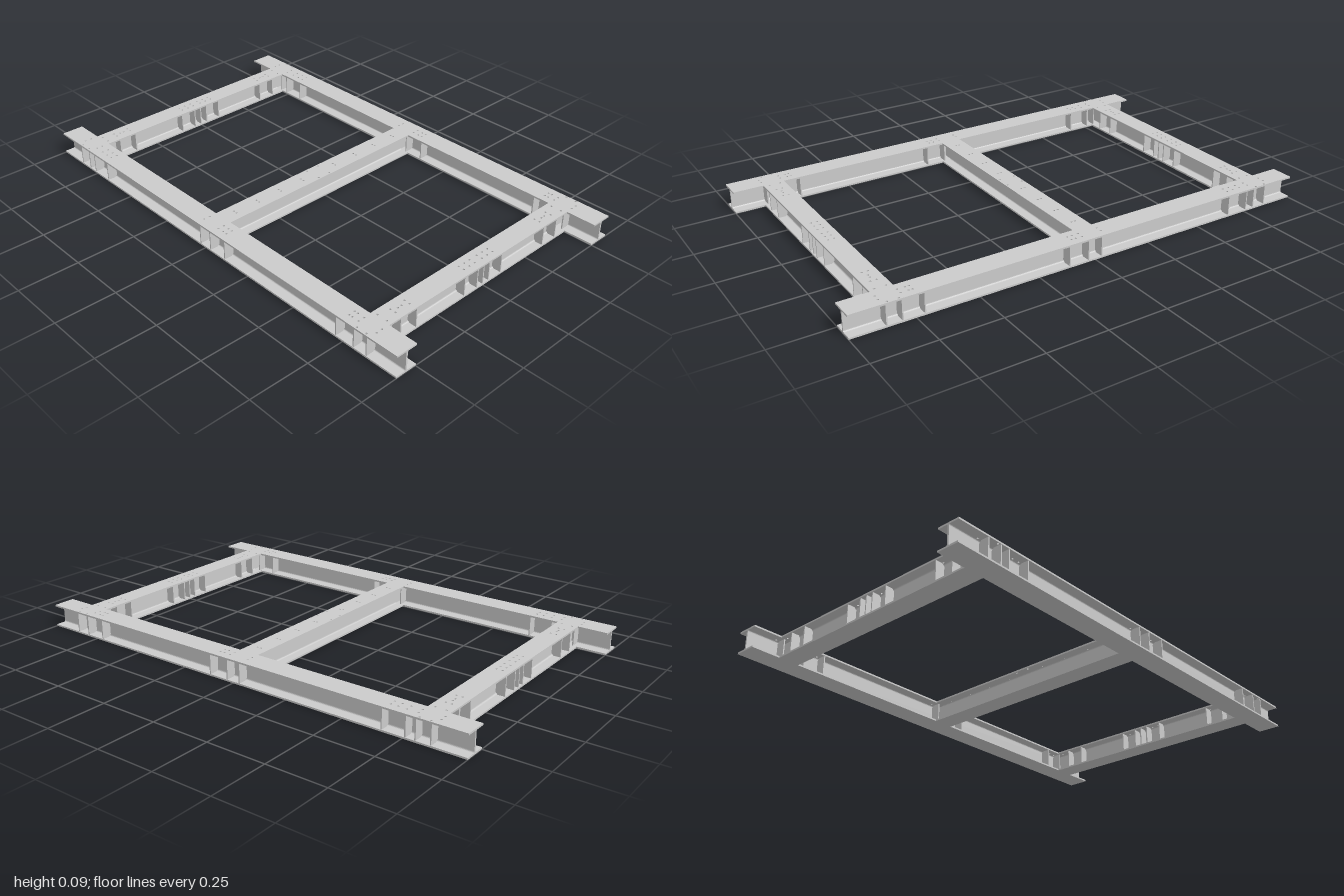
import * as THREE from 'three';

const H = 0.094, T = 0.007, WEB = 0.007, R = 0.006, PLATE = 0.005;
const steel = new THREE.MeshStandardMaterial({ color: 0xcccccc });

function add(parent, name, geometry) {
  const mesh = new THREE.Mesh(geometry, steel);
  mesh.name = name;
  parent.add(mesh);
  return mesh;
}

// Top flange with bolt holes; beam runs along local x, holes are [x, z]
function flangeGeometry(length, width, holes) {
  const s = new THREE.Shape();
  s.moveTo(-length / 2, -width / 2).lineTo(length / 2, -width / 2);
  s.lineTo(length / 2, width / 2).lineTo(-length / 2, width / 2).closePath();
  for (const [x, z] of holes) {
    s.holes.push(new THREE.Path().absarc(x, -z, 0.0045, 0, Math.PI * 2, true));
  }
  const g = new THREE.ExtrudeGeometry(s, { depth: T, bevelEnabled: false, curveSegments: 5 });
  return g.rotateX(-Math.PI / 2).translate(0, H - T, 0);
}

// Web with rounded roots at both flanges
function webGeometry(length) {
  const a = WEB / 2, lo = T, hi = H - T;
  const s = new THREE.Shape();
  s.moveTo(-a - R, lo).lineTo(a + R, lo).quadraticCurveTo(a, lo, a, lo + R);
  s.lineTo(a, hi - R).quadraticCurveTo(a, hi, a + R, hi);
  s.lineTo(-a - R, hi).quadraticCurveTo(-a, hi, -a, hi - R);
  s.lineTo(-a, lo + R).quadraticCurveTo(-a, lo, -a - R, lo);
  const g = new THREE.ExtrudeGeometry(s, { depth: length, bevelEnabled: false, curveSegments: 4 });
  return g.translate(0, 0, -length / 2).rotateY(Math.PI / 2);
}

// Stiffener plate from web to flange edge, with clipped inner corners
function stiffenerGeometry(width) {
  const a = WEB / 2, b = width / 2 - 0.002, lo = T, hi = H - T, c = 0.009;
  const s = new THREE.Shape();
  s.moveTo(a + c, lo).lineTo(b, lo).lineTo(b, hi).lineTo(a + c, hi);
  s.lineTo(a, hi - c).lineTo(a, lo + c).closePath();
  const g = new THREE.ExtrudeGeometry(s, { depth: PLATE, bevelEnabled: false });
  return g.translate(0, 0, -PLATE / 2).rotateY(-Math.PI / 2);
}

function beam(name, length, width, holes, stiffeners) {
  const group = new THREE.Group();
  group.name = name;
  add(group, 'topFlange', flangeGeometry(length, width, holes));
  add(group, 'bottomFlange', new THREE.BoxGeometry(length, T, width).translate(0, T / 2, 0));
  add(group, 'web', webGeometry(length));
  for (const x of stiffeners) {
    for (const side of [0, Math.PI]) {
      const plate = add(group, 'stiffener', stiffenerGeometry(width));
      plate.position.x = x;
      plate.rotation.y = side;
    }
  }
  return group;
}

// All pairs of the given coordinates
const grid = (xs, zs) => xs.flatMap((x) => zs.map((z) => [x, z]));
const both = (values) => values.flatMap((v) => [v, -v]);

export function createModel() {
  const model = new THREE.Group();
  model.name = 'steelFrame';

  // Long side beams, mirrored front and back
  const railStiffeners = [-0.86, -0.8, -0.76, -0.665, -0.03, 0.03, 0.115, 0.715, 0.8, 0.86];
  const railRows = [-0.745, -0.71, -0.68, 0.07, 0.09, 0.745, 0.76];
  const jointRows = [-0.877, -0.79, -0.045, 0.042, 0.79, 0.873];
  for (const side of [1, -1]) {
    const holes = [
      ...grid([...railRows, ...jointRows], [-0.014 * side, 0.012 * side]),
      ...grid([-0.855, -0.81, 0.81, 0.853], [0.039 * side]),
    ];
    const rail = beam(side > 0 ? 'frontRail' : 'backRail', 2, 0.094, holes, railStiffeners);
    rail.position.z = 0.545 * side;
    model.add(rail);
  }

  // Cross beams between the rails
  const endHoles = [
    ...grid(both([0.435, 0.365, 0.08, 0.05, 0.02]), [-0.012, 0.012]),
    ...grid(both([0.487]), [-0.022, 0.022]),
    ...grid(both([0.41, 0.392]), [0]),
  ];
  const middleHoles = [
    ...grid(both([0.44, 0.325, 0.21, 0.09]), [-0.008, 0.008]),
    ...grid(both([0.03]), [-0.034, 0.034]),
  ];
  const endStiffeners = [...both([0.436, 0.357, 0.103, 0.033]), 0];
  const crossBeams = [
    ['rightCrossBeam', -0.833, endHoles, endStiffeners],
    ['middleCrossBeam', -0.002, middleHoles, []],
    ['leftCrossBeam', 0.831, endHoles, endStiffeners],
  ];
  for (const [name, x, holes, stiffeners] of crossBeams) {
    const cross = beam(name, 0.996, 0.088, holes, stiffeners);
    cross.rotation.y = Math.PI / 2;
    cross.position.x = x;
    // Web tongues reaching into the rails
    for (const end of [1, -1]) {
      add(cross, 'webTongue', new THREE.BoxGeometry(0.046, H - 2 * T - 0.004, WEB))
        .position.set(0.52 * end, H / 2, 0);
    }
    model.add(cross);
  }
  return model;
}
